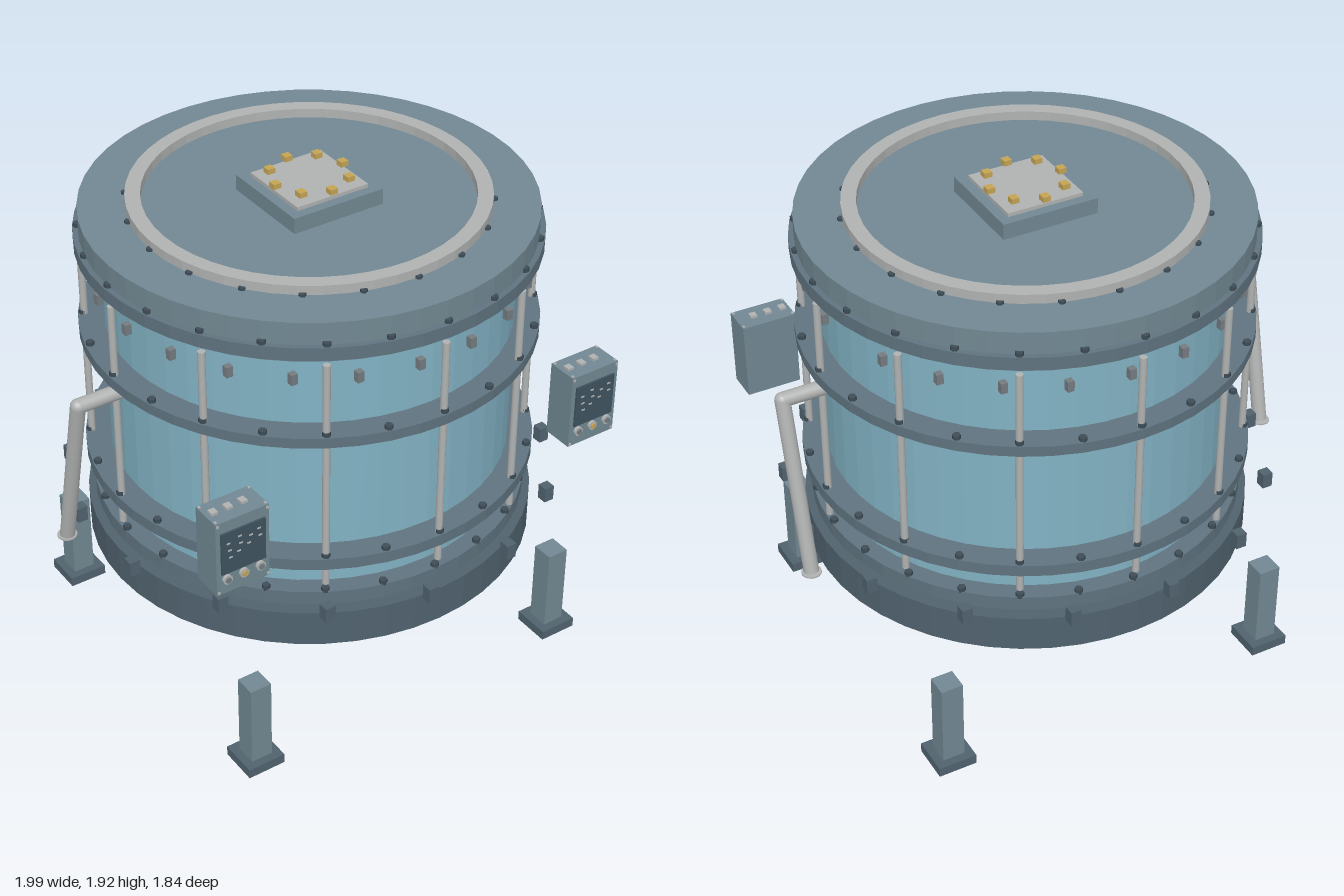
import * as THREE from 'three';

const mat = (name, color) => {
  const m = new THREE.MeshStandardMaterial({ color });
  m.name = name;
  return m;
};

export function createModel() {
  const M = {
    shell: mat('shell blue', 0x82b2c4),
    steel: mat('steel blue', 0x718892),
    band: mat('band slate', 0x5f737f),
    dark: mat('dark slate', 0x50626e),
    bolt: mat('bolt dark', 0x3f4d57),
    grey: mat('light grey', 0xb0b2b2),
    vent: mat('vent grey', 0x747c80),
    screen: mat('screen dark', 0x3f5360),
    gold: mat('gold', 0xc4a455),
  };
  const model = new THREE.Group();
  model.name = 'storageTank';

  const add = (parent, name, geo, material, x = 0, y = 0, z = 0) => {
    const mesh = new THREE.Mesh(geo, material);
    mesh.name = name;
    mesh.position.set(x, y, z);
    parent.add(mesh);
    return mesh;
  };
  const group = (name, parent = model) => {
    const g = new THREE.Group();
    g.name = name;
    parent.add(g);
    return g;
  };
  const box = (w, h, d) => new THREE.BoxGeometry(w, h, d);
  const rod = (r, h, seg = 12) => new THREE.CylinderGeometry(r, r, h, seg);
  // Faceted drum between two heights
  const drum = (name, r, y0, y1, material) => {
    const geo = rod(r, y1 - y0, 48).toNonIndexed();
    geo.computeVertexNormals();
    return add(model, name, geo, material, 0, (y0 + y1) / 2, 0);
  };
  // Places copies around the tank; the angle runs from +x towards +z
  const around = (name, geo, material, count, step, r, y) => {
    const g = group(name);
    for (let i = 0; i < count; i++) {
      const a = THREE.MathUtils.degToRad(i * step);
      add(g, name + 'Part', geo, material, r * Math.cos(a), y, r * Math.sin(a));
    }
  };

  // Tank body, base and lid
  drum('base', 0.835, 0.475, 0.615, M.dark);
  drum('baseNeck', 0.785, 0.61, 0.64, M.band);
  drum('skirtRing', 0.808, 0.635, 0.69, M.band);
  drum('shell', 0.74, 0.68, 1.67, M.shell);
  drum('lid', 0.813, 1.665, 1.815, M.steel);

  // Bands, each with a row of bolts on its upper edge
  const boltGeo = rod(0.015, 0.02, 6);
  [['lowerBand', 0.81, 0.855], ['upperBand', 1.33, 1.37], ['lidFlange', 1.68, 1.73]].forEach(([name, y0, y1]) => {
    drum(name, 0.833, y0, y1, M.band);
    around(name + 'Bolts', boltGeo, M.bolt, 24, 15, 0.815, y1 + 0.005);
  });
  around('skirtBolts', boltGeo, M.bolt, 24, 15, 0.795, 0.695);

  // Vertical rods, vents and lower blocks
  around('verticalRods', rod(0.0135, 0.915), M.grey, 12, 30, 0.81, 1.1925);
  around('vents', box(0.025, 0.04, 0.025), M.vent, 22, 16, 0.785, 1.58);
  around('lowerBlocks', box(0.04, 0.06, 0.04), M.dark, 15, 24, 0.905, 0.683);

  // Raised rim on the lid
  const rimProfile = [[0.59, 1.81], [0.645, 1.81], [0.645, 1.85], [0.59, 1.85], [0.59, 1.81]]
    .map(([x, y]) => new THREE.Vector2(x, y));
  const rimGeo = new THREE.LatheGeometry(rimProfile, 48).toNonIndexed();
  rimGeo.computeVertexNormals();
  add(model, 'lidRim', rimGeo, M.grey);
  around('rimBolts', rod(0.013, 0.02, 6), M.bolt, 20, 18, 0.648, 1.815);

  // Hatch with cover plate and bolts
  const hatch = group('hatch');
  add(hatch, 'hatchBox', box(0.37, 0.065, 0.37), M.steel, 0, 1.8425, 0);
  add(hatch, 'hatchPlate', box(0.295, 0.014, 0.295), M.grey, 0, 1.882, 0);
  for (let i = 0; i < 8; i++) {
    const a = (i * Math.PI) / 4;
    add(hatch, 'hatchBolt', box(0.03, 0.02, 0.03), M.gold, 0.141 * Math.cos(a), 1.907, 0.141 * Math.sin(a));
  }

  // Sloping drain pipes on both sides
  for (const s of [-1, 1]) {
    const pipe = group(s > 0 ? 'leftPipe' : 'rightPipe');
    const r = 0.028;
    const segment = (name, from, to) => {
      const dir = to.clone().sub(from);
      const m = add(pipe, name, rod(r, dir.length(), 16), M.grey);
      m.position.copy(from).lerp(to, 0.5);
      m.quaternion.setFromUnitVectors(new THREE.Vector3(0, 1, 0), dir.normalize());
    };
    const elbow = new THREE.Vector3(s * 0.96, 1.295, 0);
    const foot = new THREE.Vector3(s * 0.96, 0.635, -0.155);
    segment('pipeArm', new THREE.Vector3(s * 0.76, 1.295, 0), elbow);
    segment('pipeDrop', elbow, foot);
    add(pipe, 'pipeElbow', new THREE.SphereGeometry(r, 16, 12), M.grey, ...elbow.toArray());
    add(pipe, 'pipeFlange', rod(0.037, 0.006, 16), M.grey, s * 0.96, 0.633, -0.157);
    add(pipe, 'pipeCollar', rod(0.037, 0.006, 16), M.grey, s * 0.785, 1.295, 0);
  }

  // Control boxes at the front corners
  for (const s of [-1, 1]) {
    const c = group(s > 0 ? 'leftControlBox' : 'rightControlBox');
    c.position.set(s * 0.755, 1.05, 0.662);
    add(c, 'cabinet', box(0.21, 0.3, 0.122), M.steel);
    add(c, 'screen', box(0.175, 0.17, 0.008), M.screen, 0, 0.02, 0.064);
    for (let i = 0; i < 10; i++) {
      add(c, 'screenMark', box(0.014, 0.005, 0.004), M.grey,
        -0.06 + (i % 4) * 0.04 + (i % 3) * 0.004, 0.06 - Math.floor(i / 4) * 0.03 + (i % 2) * 0.014, 0.069);
    }
    for (let i = -1; i <= 1; i++) {
      const ring = add(c, 'knobRing', rod(0.018, 0.012, 16), M.grey, i * 0.066, -0.09, 0.066);
      const knob = add(c, 'knob', rod(0.011, 0.018, 12), i ? M.vent : M.gold, i * 0.066, -0.09, 0.068);
      ring.rotation.x = knob.rotation.x = Math.PI / 2;
      add(c, 'topSwitch', box(0.025, 0.012, 0.028), M.grey, -0.018 + i * 0.058, 0.154, 0);
    }
    for (const x of [-0.098, 0.098]) {
      for (const y of [-0.14, 0.14]) add(c, 'frontRivet', box(0.009, 0.009, 0.006), M.grey, x, y, 0.062);
      for (const z of [-0.05, 0.05]) add(c, 'topRivet', box(0.009, 0.006, 0.009), M.grey, x, 0.151, z);
    }
  }

  // Legs with foot plates
  for (const x of [-0.673, 0.673]) {
    for (const z of [-0.65, 0.65]) {
      const leg = group('leg');
      add(leg, 'post', box(0.085, 0.335, 0.085), M.steel, x, 0.2025, z);
      add(leg, 'footPlate', box(0.15, 0.038, 0.15), M.dark, x, 0.019, z);
    }
  }
  return model;
}
